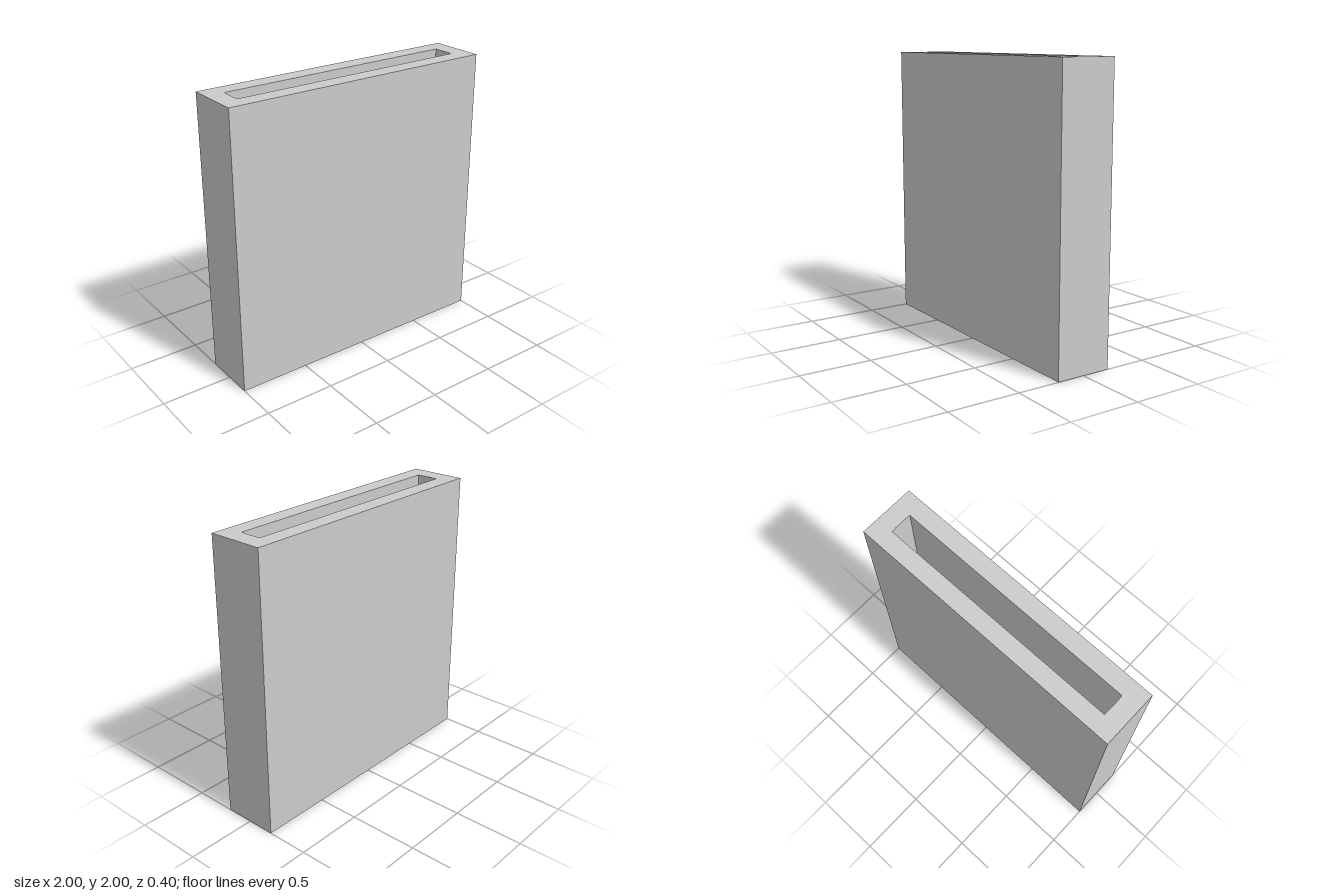
import * as THREE from 'three';

const W = 2, H = 2, D = 0.4;             // outer block
const R = 0.873, HALF = 0.078, FLOOR = 0.13; // slot: round ends, half width, floor height

// Slot outline: a circle of radius R trimmed to a narrow band, counter-clockwise
function slotPoints(steps = 4) {
  const a = Math.asin(HALF / R), pts = [];
  for (const start of [0, Math.PI]) {
    for (let i = 0; i <= steps; i++) {
      const t = start - a + (2 * a * i) / steps;
      pts.push(new THREE.Vector2(R * Math.cos(t), R * Math.sin(t)));
    }
  }
  return pts;
}

// Horizontal flat face at height y, facing up
function flatFace(shape, y) {
  return new THREE.ShapeGeometry(shape).rotateX(-Math.PI / 2).translate(0, y, 0);
}

// Inward-facing walls that follow the outline
function innerWalls(pts, y0, y1) {
  const pos = [];
  pts.forEach((p, i) => {
    const q = pts[(i + 1) % pts.length];
    const a = [p.x, y0, -p.y], b = [q.x, y0, -q.y];
    const c = [q.x, y1, -q.y], d = [p.x, y1, -p.y];
    pos.push(...a, ...c, ...b, ...a, ...d, ...c);
  });
  const g = new THREE.BufferGeometry();
  g.setAttribute('position', new THREE.Float32BufferAttribute(pos, 3));
  g.computeVertexNormals();
  return g;
}

export function createModel() {
  const group = new THREE.Group();
  group.name = 'slottedBlock';
  const material = new THREE.MeshStandardMaterial({ color: 0xcccccc });
  const add = (name, geometry) => {
    const mesh = new THREE.Mesh(geometry, material);
    mesh.name = name;
    group.add(mesh);
  };
  const slot = slotPoints();

  // Outer sides and underside: a box without its top face
  const box = new THREE.BoxGeometry(W, H, D).translate(0, H / 2, 0);
  const index = Array.from(box.index.array);
  index.splice(12, 6);
  box.setIndex(index);
  box.clearGroups();
  add('outerShell', box);

  // Top rim around the slot opening
  const rim = new THREE.Shape([
    new THREE.Vector2(-W / 2, -D / 2), new THREE.Vector2(W / 2, -D / 2),
    new THREE.Vector2(W / 2, D / 2), new THREE.Vector2(-W / 2, D / 2),
  ]);
  rim.holes.push(new THREE.Path(slot));
  add('topRim', flatFace(rim, H));

  // Deep slot
  add('slotWalls', innerWalls(slot, FLOOR, H));
  add('slotFloor', flatFace(new THREE.Shape(slot), FLOOR));

  return group;
}
